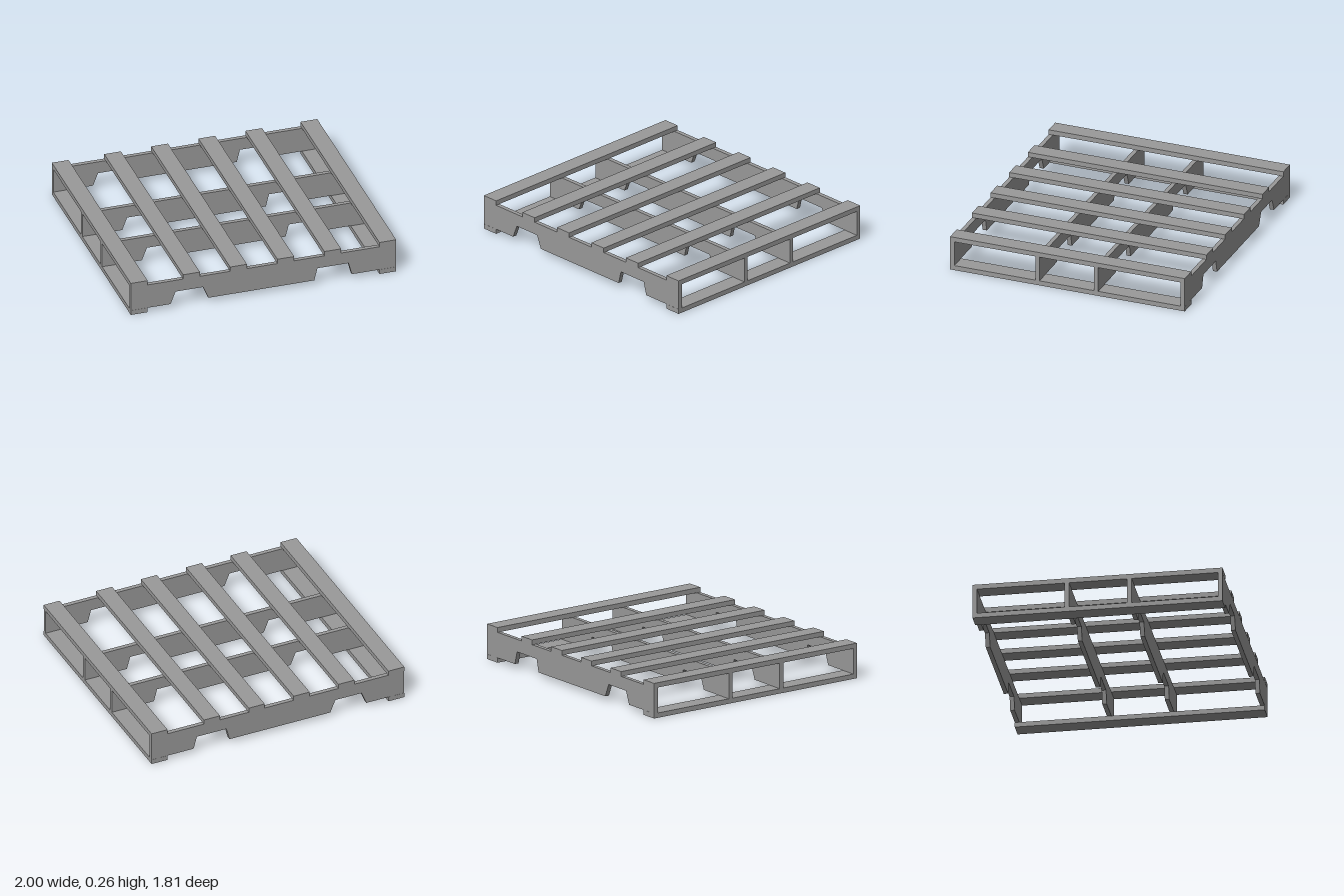
import * as THREE from 'three';

const HEIGHT = 0.261, BOARD = 0.036, BOARD_WIDTH = 0.126, DEPTH = 1.814;
const STRINGER = 0.032;

export function createModel() {
  const model = new THREE.Group();
  model.name = 'pallet';
  const material = new THREE.MeshStandardMaterial({ color: 0x999999, flatShading: true });

  const add = (geometry, name, x, y, z) => {
    const mesh = new THREE.Mesh(geometry, material);
    mesh.name = name;
    mesh.position.set(x, y, z);
    model.add(mesh);
  };

  // Deck boards running front to back
  const board = new THREE.BoxGeometry(BOARD_WIDTH, BOARD, DEPTH);
  [-0.937, -0.542, -0.188, 0.168, 0.522, 0.937].forEach((x, i) =>
    add(board, `deckBoard${i + 1}`, x, HEIGHT - BOARD / 2, 0));

  // Bottom boards under the two ends
  add(board, 'bottomBoardRight', -0.937, BOARD / 2, 0);
  add(board, 'bottomBoardLeft', 0.937, BOARD / 2, 0);

  // Stringer profile with two tapered fork notches in its lower edge
  const low = BOARD, high = HEIGHT - BOARD, notch = 0.132;
  const profile = new THREE.Shape([
    [-1, low], [-0.70, low], [-0.662, notch], [-0.455, notch], [-0.415, low],
    [0.383, low], [0.407, notch], [0.641, notch], [0.667, low], [1, low],
    [1, high], [-1, high],
  ].map(([x, y]) => new THREE.Vector2(x, y)));
  const stringer = new THREE.ExtrudeGeometry(profile, { depth: STRINGER, bevelEnabled: false });
  stringer.translate(0, 0, -STRINGER / 2);

  // Four stringers from back to front, the outer two set in slightly from the board ends
  [-0.89, -0.222, 0.232, 0.89].forEach((z, i) =>
    add(stringer, `stringer${i + 1}`, 0, 0, z));

  return model;
}
